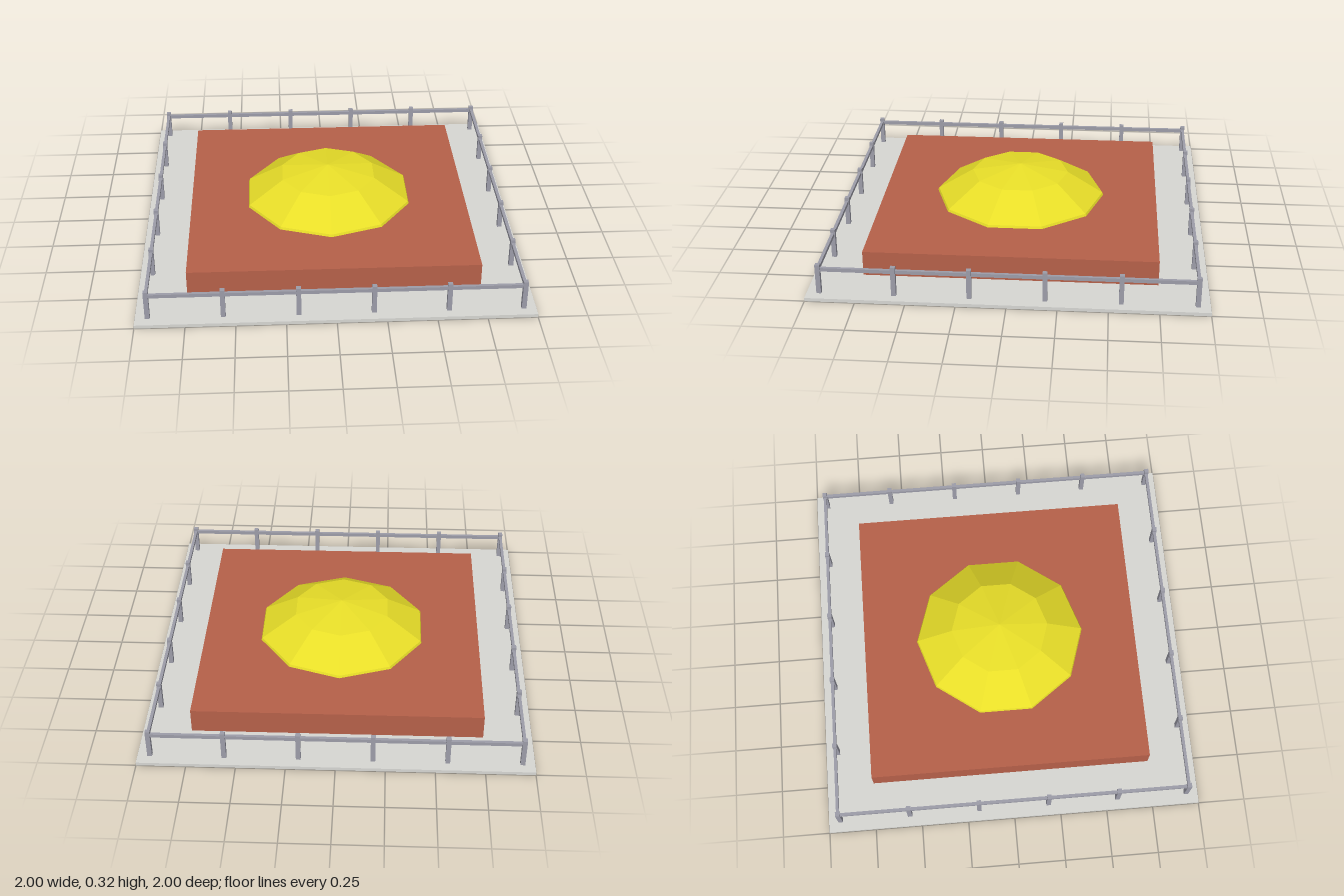
import * as THREE from 'three';

function material(name, color, flatShading = false) {
  const m = new THREE.MeshStandardMaterial({ color, flatShading });
  m.name = name;
  return m;
}

export function createModel() {
  const model = new THREE.Group();
  model.name = 'fencedDomePlatform';
  const concrete = material('concrete', 0xd6d6d2);
  const brick = material('brickRed', 0xb56049);
  const yellow = material('yellow', 0xe8de28, true);
  const steel = material('steelGrey', 0x9c9ca8);

  function box(name, mat, w, h, d, x, bottom, z, parent = model) {
    const mesh = new THREE.Mesh(new THREE.BoxGeometry(w, h, d), mat);
    mesh.name = name;
    mesh.position.set(x, bottom + h / 2, z);
    parent.add(mesh);
  }

  // Ground slab and the block, both standing on the ground
  box('slab', concrete, 2, 0.018, 2, 0, 0, 0);
  box('block', brick, 1.5, 0.15, 1.5, 0, 0, 0);

  // Faceted dome, a flattened ten-sided hemisphere with a corner facing +z
  const domeGeometry = new THREE.SphereGeometry(0.525, 10, 3, Math.PI / 2, Math.PI * 2, 0, Math.PI / 2);
  domeGeometry.scale(1, 0.325 / 0.525, 1);
  const dome = new THREE.Mesh(domeGeometry, yellow);
  dome.name = 'dome';
  model.add(dome);

  // Fence: four equal sides, each with one rail and five posts
  const edge = 0.9375;
  for (let side = 0; side < 4; side++) {
    const fence = new THREE.Group();
    fence.name = 'fenceSide';
    fence.rotation.y = side * Math.PI / 2;
    box('rail', steel, edge * 2, 0.019, 0.016, 0, 0.1405, edge, fence);
    for (let i = 0; i < 5; i++) {
      box('post', steel, 0.024, 0.176, 0.024, -edge + i * 0.375, 0, edge, fence);
    }
    model.add(fence);
  }
  return model;
}
